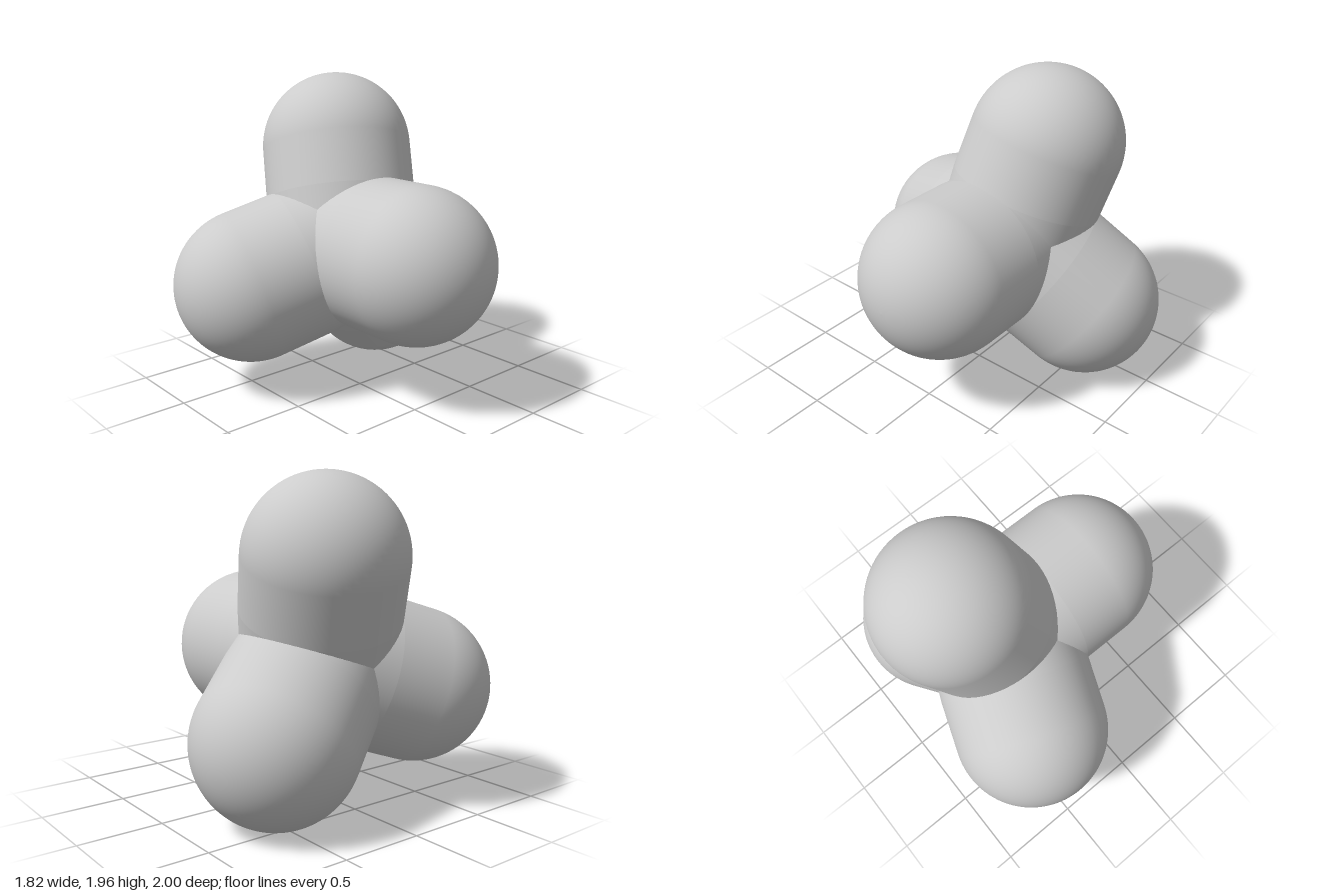
import * as THREE from 'three';

const RADIUS = 0.479;
const ROOT = 0.32; // where the straight part of a lobe begins
const CENTRE = new THREE.Vector3(-0.215, 0.88, -0.06);

// Middle of each rounded tip, arranged as a tetrahedron
const TIPS = {
  rightwardLobe: [0.43, 0.88, -0.06],
  topLobe: [-0.43, 1.481, -0.175],
  frontLobe: [-0.43, 0.68, 0.52],
  backLobe: [-0.43, 0.479, -0.52],
};

export function createModel() {
  const model = new THREE.Group();
  const material = new THREE.MeshStandardMaterial({ color: 0xcccccc });

  for (const [name, position] of Object.entries(TIPS)) {
    const direction = new THREE.Vector3(...position).sub(CENTRE);
    const length = direction.length();
    const lobe = new THREE.Group();
    lobe.name = name;
    lobe.position.copy(CENTRE);
    lobe.quaternion.setFromUnitVectors(new THREE.Vector3(0, 1, 0), direction.normalize());

    // Slightly tapered root, running to the shared centre
    const root = new THREE.Mesh(
      new THREE.CylinderGeometry(RADIUS, RADIUS - 0.02, ROOT, 64, 1, true), material);
    root.name = 'root';
    root.position.y = ROOT / 2;

    // Straight wall closed by a hemisphere
    const profile = [new THREE.Vector2(RADIUS, ROOT)];
    for (let i = 0; i <= 24; i++) {
      const a = (i / 24) * Math.PI / 2;
      profile.push(new THREE.Vector2(RADIUS * Math.cos(a), length + RADIUS * Math.sin(a)));
    }
    const tip = new THREE.Mesh(new THREE.LatheGeometry(profile, 64), material);
    tip.name = 'roundedTip';

    lobe.add(root, tip);
    model.add(lobe);
  }
  return model;
}
